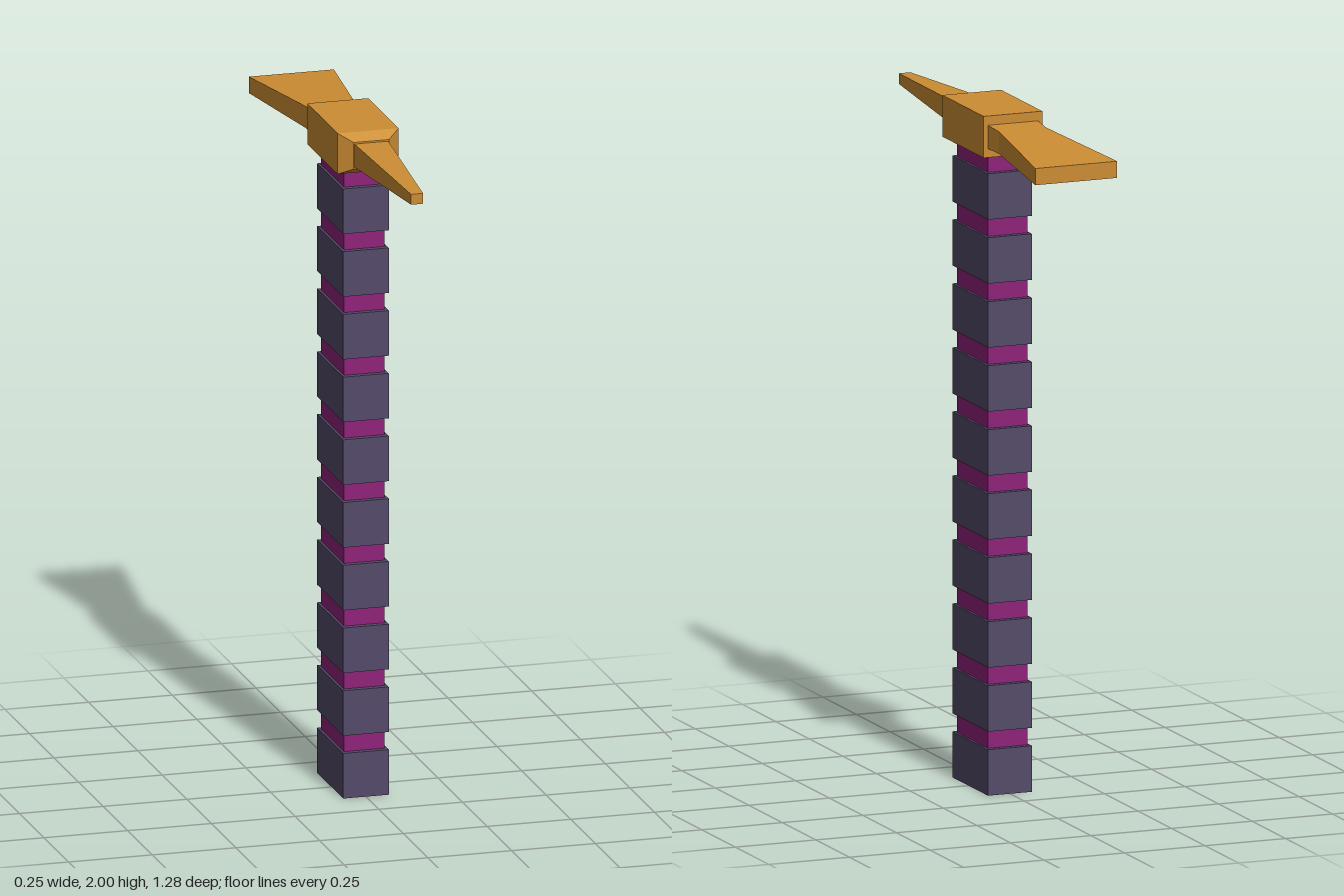
import * as THREE from 'three';

const material = (name, color) => {
  const m = new THREE.MeshStandardMaterial({ color });
  m.name = name;
  return m;
};

// Rectangular loft along z; sections [z, halfWidth, bottom, top] in ascending z
function loft(sections) {
  const n = sections.length - 1;
  const box = new THREE.BoxGeometry(1, 1, 1, 1, 1, n);
  const p = box.attributes.position;
  for (let i = 0; i < p.count; i++) {
    const [z, w, bottom, top] = sections[Math.round((p.getZ(i) + 0.5) * n)];
    p.setXYZ(i, Math.sign(p.getX(i)) * w, p.getY(i) > 0 ? top : bottom, z);
  }
  const geometry = box.toNonIndexed();
  geometry.computeVertexNormals();
  return geometry;
}

export function createModel() {
  const model = new THREE.Group();
  model.name = 'pickaxe';
  const metal = material('golden metal', 0xcc8d33);
  const wrap = material('slate wrap', 0x544a69);
  const grip = material('magenta grip', 0x8e2178);

  const add = (name, geometry, mat, y = 0, z = 0) => {
    const mesh = new THREE.Mesh(geometry, mat);
    mesh.name = name;
    mesh.position.set(0, y, z);
    model.add(mesh);
  };

  // Handle core with ten evenly spaced bands
  const handleZ = -0.013;
  add('handleCore', new THREE.BoxGeometry(0.122, 1.84, 0.231), grip, 0.97, handleZ);
  const band = new THREE.BoxGeometry(0.136, 0.135, 0.265);
  for (let i = 0; i < 10; i++) add(`handleBand${i + 1}`, band, wrap, 0.0675 + i * 0.1878, handleZ);

  // Head block, tapering at the front
  add('headBlock', loft([
    [-0.168, 0.091, 1.878, 2],
    [0.14, 0.091, 1.878, 2],
    [0.174, 0.053, 1.899, 1.979],
  ]), metal);

  // Pointed pick at the front
  add('frontSpike', loft([
    [0.15, 0.052, 1.904, 1.975],
    [0.64, 0.018, 1.925, 1.956],
  ]), metal);

  // Flared flat blade at the back
  add('rearBlade', loft([
    [-0.64, 0.127, 1.897, 1.946],
    [-0.24, 0.073, 1.903, 1.968],
    [-0.15, 0.079, 1.904, 1.974],
  ]), metal);

  return model;
}
